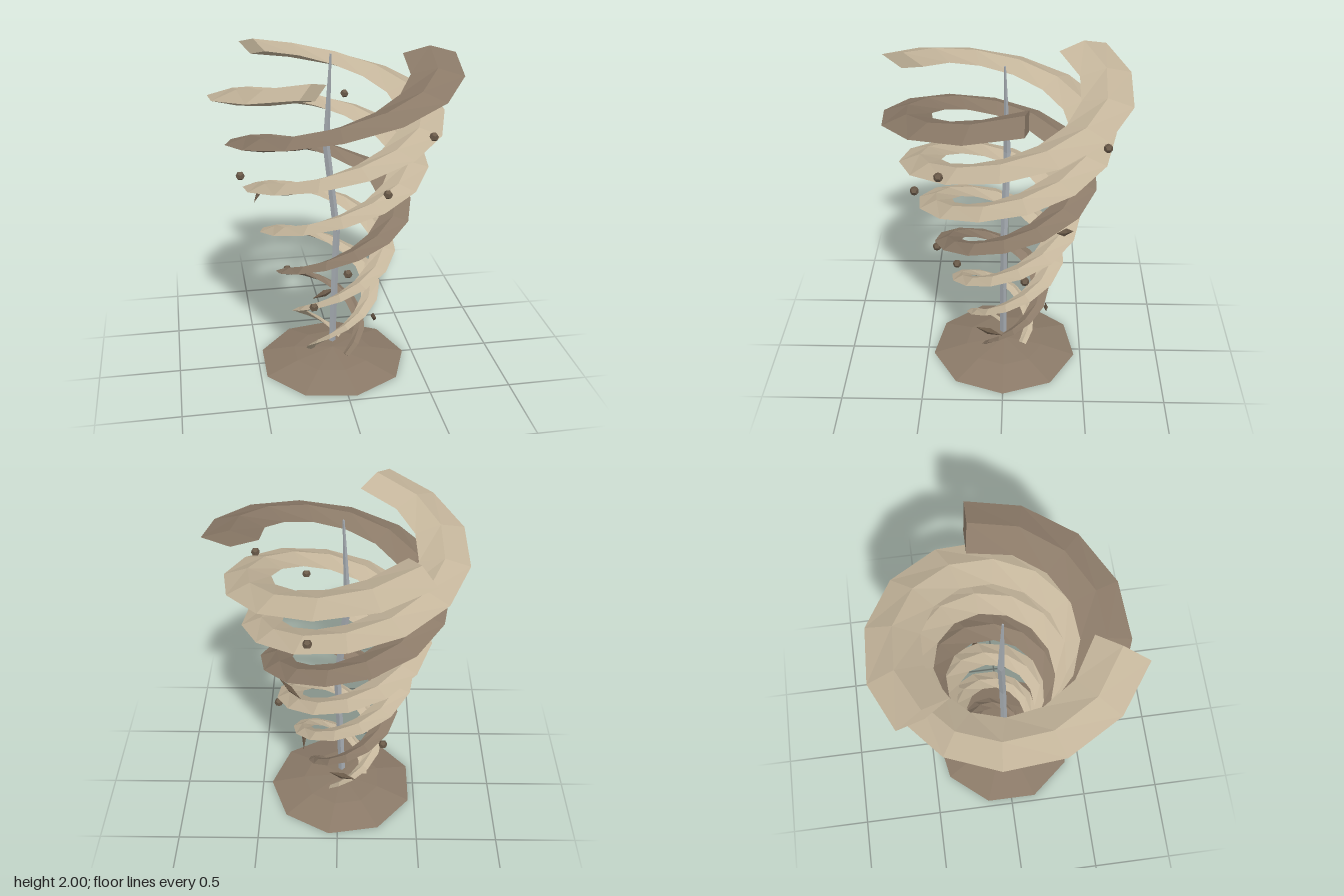
import * as THREE from 'three';

const CENTRE_X = -0.025; // the funnel axis
const STEPS = 30, TURNS = 2.2;

const material = (name, color) => {
  const m = new THREE.MeshStandardMaterial({ color });
  m.name = name;
  return m;
};

// Separate faces so that every facet is flat
function faceted(geometry) {
  const g = geometry.index ? geometry.toNonIndexed() : geometry;
  g.computeVertexNormals();
  return g;
}

// Four-sided diamond bar along a path; half sizes come from size(t)
function diamondBar(path, size, ref) {
  const n = path.length, pos = [], index = [];
  path.forEach((p, i) => {
    const tangent = path[Math.min(i + 1, n - 1)].clone().sub(path[Math.max(i - 1, 0)]).normalize();
    const side = ref.clone().cross(tangent).normalize();
    const up = tangent.clone().cross(side);
    const [w, h] = size(i / (n - 1));
    for (const [a, b] of [[w, 0], [0, h], [-w, 0], [0, -h]]) {
      pos.push(...p.clone().addScaledVector(side, a).addScaledVector(up, b).toArray());
    }
  });
  for (let i = 0; i < n - 1; i++) {
    for (let k = 0; k < 4; k++) {
      const a = i * 4 + k, b = i * 4 + (k + 1) % 4;
      index.push(a, b, b + 4, a, b + 4, a + 4);
    }
  }
  const e = (n - 1) * 4;
  index.push(0, 2, 1, 0, 3, 2, e, e + 1, e + 2, e, e + 2, e + 3);
  const g = new THREE.BufferGeometry();
  g.setAttribute('position', new THREE.Float32BufferAttribute(pos, 3));
  g.setIndex(index);
  return faceted(g);
}

// Widening helix that winds clockwise as it climbs
function helix(startAngle) {
  const points = [];
  for (let i = 0; i <= STEPS; i++) {
    const t = i / STEPS;
    const a = startAngle - t * TURNS * Math.PI * 2;
    const r = 0.14 + 0.48 * t;
    points.push(new THREE.Vector3(CENTRE_X + r * Math.cos(a), 0.085 + 1.867 * t, r * Math.sin(a)));
  }
  return points;
}

export function createModel() {
  const group = new THREE.Group();
  const sand = material('paleSand', 0xc4b59b);
  const dust = material('brownDust', 0x8b7a68);
  const dark = material('darkDebris', 0x6a5a49);
  const grey = material('coreGrey', 0xaab0b6);

  const add = (name, geometry, mat) => {
    const mesh = new THREE.Mesh(geometry, mat);
    mesh.name = name;
    group.add(mesh);
    return mesh;
  };

  // Three interleaved wind bands
  const up = new THREE.Vector3(0, 1, 0);
  [[60, dust], [180, sand], [300, sand]].forEach(([deg, mat], i) => {
    const size = t => [0.026 + 0.132 * t, 0.01 + 0.036 * t];
    add('windBand' + (i + 1), diamondBar(helix(THREE.MathUtils.degToRad(deg)), size, up), mat);
  });

  // Crooked thin core
  const core = [[-0.025, 0.13, 0.005], [-0.012, 0.5, 0.005], [0.004, 0.9, 0],
    [-0.055, 1.45, -0.018], [-0.03, 2, -0.005]].map(p => new THREE.Vector3(...p));
  add('core', diamondBar(core, t => (t === 1 ? [0.006, 0.006] : [0.021, 0.021]),
    new THREE.Vector3(0, 0, 1)), grey);

  // Low nine-sided dust mound
  const profile = [[0, 0], [0.465, 0], [0.25, 0.052], [0, 0.078]].map(p => new THREE.Vector2(...p));
  const mound = add('groundMound', faceted(new THREE.LatheGeometry(profile, 9)), dust);
  mound.rotation.y = Math.PI / 2;
  mound.position.x = CENTRE_X;

  // Round debris, two pieces on each level
  const pebble = faceted(new THREE.DodecahedronGeometry(0.027));
  [[-0.28, 0.55, -0.22], [-0.185, 0.55, 0.31], [0, 0.81, 0.415], [0.36, 0.81, -0.13],
    [-0.575, 1.33, 0.09], [0.205, 1.33, 0.51], [0.155, 1.59, -0.59], [0.5, 1.59, 0.34]]
    .forEach((p, i) => add('pebble' + (i + 1), pebble, dark).position.set(...p));

  // Long splinters lying along the wind, tilted downwards
  const splinter = faceted(new THREE.OctahedronGeometry(1).scale(0.014, 0.025, 0.09));
  [[0.225, 0.325, 0.09], [-0.03, 0.325, -0.27], [-0.45, 1.1, -0.2], [0.27, 1.1, -0.36]]
    .forEach(([x, y, z], i) => {
      const mesh = add('splinter' + (i + 1), splinter, dark);
      mesh.position.set(x, y, z);
      mesh.rotation.order = 'YXZ';
      mesh.rotation.y = -Math.atan2(z, x - CENTRE_X) + (i === 0 ? 0.35 : 0);
      mesh.rotation.x = -0.38;
    });

  return group;
}
